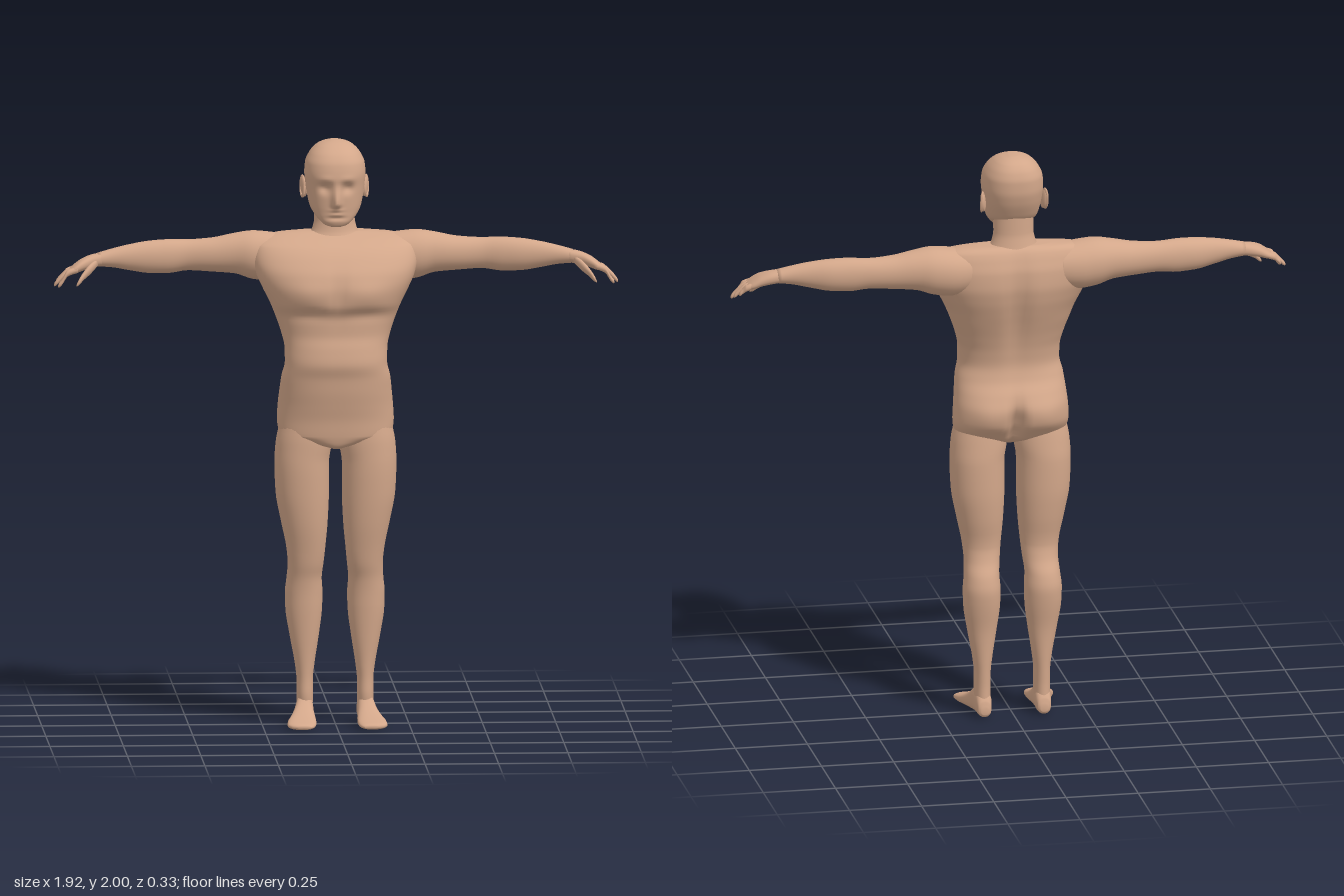
import * as THREE from 'three';

const skin = new THREE.MeshStandardMaterial({ color: 0xd3a78a });
skin.name = 'skin';

const bump = (x, c, s) => Math.exp(-(((x - c) / s) ** 2));

// Smooth, overshoot-free interpolation of the rows; column 0 is the position
function refine(rows, steps) {
  const n = rows.length, out = [];
  const slope = (i, k) => (rows[i + 1][k] - rows[i][k]) / (rows[i + 1][0] - rows[i][0]);
  const tangent = (i, k) => {
    if (i === 0) return slope(0, k);
    if (i === n - 1) return slope(n - 2, k);
    const a = slope(i - 1, k), b = slope(i, k);
    return a * b <= 0 ? 0 : (2 * a * b) / (a + b);
  };
  for (let i = 0; i < n - 1; i++) {
    const h = rows[i + 1][0] - rows[i][0];
    for (let s = 0; s < steps; s++) {
      const t = s / steps, t2 = t * t, t3 = t2 * t;
      out.push(rows[i].map((p, k) => k === 0 ? p + h * t
        : p * (2 * t3 - 3 * t2 + 1) + rows[i + 1][k] * (3 * t2 - 2 * t3)
          + h * (tangent(i, k) * (t3 - 2 * t2 + t) + tangent(i + 1, k) * (t3 - t2))));
    }
  }
  out.push(rows[n - 1]);
  return out;
}

// Loft rounded sections [pos, u0, u1, v0, v1] along an axis.
// Axis x: u = y, v = z.  Axis y: u = z, v = x.  Axis z: u = x, v = y.
function loft(axis, rows, { sides = 32, steps = 4, power = 2.2, deform, mirror = false } = {}) {
  const rings = refine(rows, steps);
  const close = (r) => {
    const u = (r[1] + r[2]) / 2, v = (r[3] + r[4]) / 2;
    return [r[0], u, u, v, v];
  };
  rings.unshift(close(rings[0]));
  rings.push(close(rings[rings.length - 1]));
  const pos = [], index = [], p = new THREE.Vector3();
  const round = (c) => Math.sign(c) * Math.abs(c) ** (2 / power);
  rings.forEach(([t, u0, u1, v0, v1], i) => {
    for (let j = 0; j < sides; j++) {
      const a = (j / sides) * Math.PI * 2;
      const u = (u0 + u1) / 2 + ((u1 - u0) / 2) * round(Math.cos(a));
      const v = (v0 + v1) / 2 + ((v1 - v0) / 2) * round(Math.sin(a));
      if (axis === 'x') p.set(t, u, v);
      else if (axis === 'y') p.set(v, t, u);
      else p.set(u, v, t);
      if (deform) deform(p);
      pos.push(mirror ? -p.x : p.x, p.y, p.z);
      if (i === 0) continue;
      const k = (j + 1) % sides, lo = (i - 1) * sides, hi = i * sides;
      const quad = [lo + j, lo + k, hi + k, lo + j, hi + k, hi + j];
      index.push(...(mirror ? quad.reverse() : quad));
    }
  });
  const g = new THREE.BufferGeometry();
  g.setAttribute('position', new THREE.Float32BufferAttribute(pos, 3));
  g.setIndex(index);
  g.computeVertexNormals();
  return g;
}

// Sections symmetric in x: [y, zBack, zFront, halfWidth]
const upright = (rows) => rows.map(([y, b, f, w]) => [y, b, f, -w, w]);

const torsoRows = upright([
  [0.955, -0.01, 0.085, 0.02], [0.965, -0.04, 0.1, 0.06], [0.98, -0.07, 0.106, 0.125],
  [1.0, -0.092, 0.11, 0.19], [1.05, -0.13, 0.115, 0.199], [1.1, -0.138, 0.125, 0.196],
  [1.15, -0.122, 0.135, 0.191], [1.2, -0.095, 0.142, 0.185], [1.25, -0.085, 0.154, 0.174],
  [1.3, -0.092, 0.147, 0.175], [1.35, -0.105, 0.136, 0.186], [1.4, -0.122, 0.137, 0.203],
  [1.45, -0.14, 0.158, 0.223], [1.5, -0.155, 0.161, 0.248], [1.55, -0.163, 0.15, 0.27],
  [1.6, -0.16, 0.118, 0.28], [1.64, -0.148, 0.078, 0.275], [1.665, -0.137, 0.03, 0.25],
  [1.68, -0.125, -0.01, 0.2], [1.687, -0.11, -0.03, 0.12],
]);

// Buttocks, spine groove, pectorals and midline
function shapeTorso(p) {
  const { x, y } = p, ax = Math.abs(x);
  if (p.z < 0) {
    const w = Math.min(1, -p.z / 0.06);
    p.z += w * (0.05 * bump(x, 0, 0.02) * bump(y, 1.04, 0.075)
      + 0.02 * bump(x, 0, 0.035) * bump(y, 1.47, 0.17)
      - 0.012 * bump(ax, 0.1, 0.06) * bump(y, 1.07, 0.06));
  } else {
    const w = Math.min(1, p.z / 0.06);
    p.z += w * (0.01 * bump(ax, 0.1, 0.07) * bump(y, 1.49, 0.045)
      - 0.008 * bump(ax, 0.1, 0.09) * bump(y, 1.425, 0.02)
      - 0.008 * bump(x, 0, 0.02) * bump(y, 1.5, 0.08));
  }
}

const neckRows = upright([
  [1.6, -0.13, 0.03, 0.1], [1.66, -0.126, 0.012, 0.095], [1.69, -0.119, -0.002, 0.078],
  [1.73, -0.112, -0.008, 0.069], [1.8, -0.112, 0, 0.069], [1.85, -0.11, 0, 0.065],
]);

const headRows = upright([
  [1.714, 0.03, 0.06, 0.02], [1.72, 0.012, 0.068, 0.038], [1.735, -0.015, 0.073, 0.056],
  [1.755, -0.055, 0.073, 0.073], [1.78, -0.105, 0.075, 0.087], [1.81, -0.126, 0.077, 0.094],
  [1.85, -0.145, 0.081, 0.1], [1.89, -0.155, 0.086, 0.104], [1.925, -0.156, 0.08, 0.101],
  [1.955, -0.148, 0.062, 0.088], [1.98, -0.13, 0.03, 0.066], [1.993, -0.108, 0, 0.043],
  [2.0, -0.08, -0.03, 0.015],
]);

// Nose, eye sockets, lips and chin
function shapeHead(p) {
  const { x, y } = p, ax = Math.abs(x);
  if (p.z < 0.02) return;
  const ridge = y > 1.795 ? bump(y, 1.795, 0.05) : bump(y, 1.795, 0.014);
  p.z += 0.031 * bump(x, 0, 0.014) * ridge
    - 0.015 * bump(ax, 0.038, 0.02) * bump(y, 1.848, 0.018)
    + 0.005 * bump(ax, 0.035, 0.03) * bump(y, 1.878, 0.012)
    + 0.006 * bump(x, 0, 0.022) * (bump(y, 1.772, 0.006) + bump(y, 1.757, 0.006))
    - 0.004 * bump(x, 0, 0.03) * bump(y, 1.745, 0.006);
}

// Limbs of the +x side
const legRows = [
  [0.03, -0.078, 0.0, 0.076, 0.13], [0.1, -0.075, 0.012, 0.075, 0.131],
  [0.15, -0.077, 0.01, 0.075, 0.131], [0.2, -0.08, 0.012, 0.07, 0.136],
  [0.3, -0.087, 0.02, 0.055, 0.154], [0.4, -0.105, 0.028, 0.043, 0.169],
  [0.45, -0.11, 0.031, 0.042, 0.17], [0.5, -0.1, 0.037, 0.045, 0.165],
  [0.55, -0.076, 0.05, 0.04, 0.162], [0.6, -0.066, 0.06, 0.035, 0.166],
  [0.7, -0.083, 0.079, 0.026, 0.186], [0.8, -0.094, 0.09, 0.022, 0.204],
  [0.9, -0.096, 0.095, 0.022, 0.208], [0.97, -0.09, 0.095, 0.012, 0.204],
  [1.04, -0.08, 0.09, 0.01, 0.19],
];
const footRows = [
  [-0.087, 0.09, 0.115, 0.012, 0.035], [-0.08, 0.08, 0.126, 0.003, 0.06],
  [-0.055, 0.075, 0.131, 0, 0.09], [-0.015, 0.075, 0.134, 0, 0.1],
  [0.02, 0.074, 0.143, 0, 0.075], [0.06, 0.071, 0.156, 0, 0.052],
  [0.1, 0.07, 0.168, 0, 0.037], [0.135, 0.074, 0.17, 0, 0.027],
  [0.157, 0.082, 0.158, 0.001, 0.021], [0.167, 0.092, 0.135, 0.005, 0.015],
];
const armRows = [
  [0.14, 1.53, 1.67, -0.14, 0.0], [0.22, 1.515, 1.682, -0.148, 0.02],
  [0.28, 1.522, 1.687, -0.144, 0.018], [0.34, 1.541, 1.679, -0.13, 0.004],
  [0.42, 1.548, 1.664, -0.113, -0.008], [0.5, 1.553, 1.659, -0.102, -0.016],
  [0.57, 1.545, 1.661, -0.094, -0.004], [0.63, 1.547, 1.658, -0.086, 0.005],
  [0.7, 1.559, 1.648, -0.066, 0.01], [0.76, 1.571, 1.635, -0.05, 0.014],
  [0.81, 1.576, 1.622, -0.039, 0.02],
];
const handRows = [
  [0.79, 1.578, 1.624, -0.04, 0.016], [0.83, 1.572, 1.617, -0.038, 0.03],
  [0.865, 1.563, 1.604, -0.031, 0.05], [0.89, 1.555, 1.587, -0.024, 0.058],
  [0.908, 1.553, 1.572, -0.015, 0.054],
];
// A finger through centre points [x, y, z, radius]
const digit = (pts) => pts.map(([x, y, z, r]) => [x, y - r, y + r, z - r, z + r]);
const fingers = [
  [-0.011, 0.0, 0.938, 1.537], [0.008, 0.017, 0.954, 1.526],
  [0.028, 0.036, 0.961, 1.518], [0.047, 0.054, 0.948, 1.516],
].map(([z0, z1, x, y]) => digit([
  [0.88, 1.572, z0, 0.01], [0.915, 1.56, (z0 + z1) / 2, 0.0115],
  [x - 0.012, y + 0.012, z1, 0.0095], [x - 0.003, y + 0.003, z1, 0.007], [x, y, z1, 0.002],
]));
const thumb = digit([
  [0.81, 1.592, 0.008, 0.013], [0.838, 1.572, 0.04, 0.018], [0.862, 1.551, 0.062, 0.014],
  [0.878, 1.532, 0.076, 0.01], [0.886, 1.522, 0.081, 0.003],
]);

export function createModel() {
  const model = new THREE.Group();
  model.name = 'figure';
  const add = (name, geometry) => {
    const mesh = new THREE.Mesh(geometry, skin);
    mesh.name = name;
    model.add(mesh);
    return mesh;
  };

  add('torso', loft('y', torsoRows, { sides: 80, steps: 5, power: 2.3, deform: shapeTorso }));
  add('neck', loft('y', neckRows, { power: 2 }));
  add('head', loft('y', headRows, { sides: 120, steps: 6, power: 2.35, deform: shapeHead }));

  for (const side of ['left', 'right']) {
    const mirror = side === 'right', s = mirror ? -1 : 1;
    add(side + 'Leg', loft('y', legRows, { mirror, power: 2.1 }));
    add(side + 'Foot', loft('z', footRows, { mirror, power: 2.4 }));
    add(side + 'Arm', loft('x', armRows, { mirror, power: 2.1 }));
    add(side + 'Hand', loft('x', handRows, { mirror, power: 2.3 }));
    fingers.forEach((rows, i) =>
      add(side + 'Finger' + (i + 1), loft('x', rows, { mirror, sides: 14, power: 2 })));
    add(side + 'Thumb', loft('x', thumb, { mirror, sides: 14, power: 2 }));

    // Ear: flattened ball with a raised rim
    const ear = add(side + 'Ear', new THREE.SphereGeometry(1, 20, 14));
    ear.scale.set(0.009, 0.036, 0.02);
    ear.position.set(0.105 * s, 1.838, -0.062);
    ear.rotation.set(-0.2, -0.35 * s, -0.12 * s);
    const rim = add(side + 'EarRim', new THREE.TorusGeometry(0.019, 0.004, 8, 24));
    rim.scale.set(0.9, 1.75, 1);
    rim.position.set(0.109 * s, 1.838, -0.063);
    rim.rotation.set(-0.2, Math.PI / 2 - 0.35 * s, 0, 'XYZ');
  }
  return model;
}
